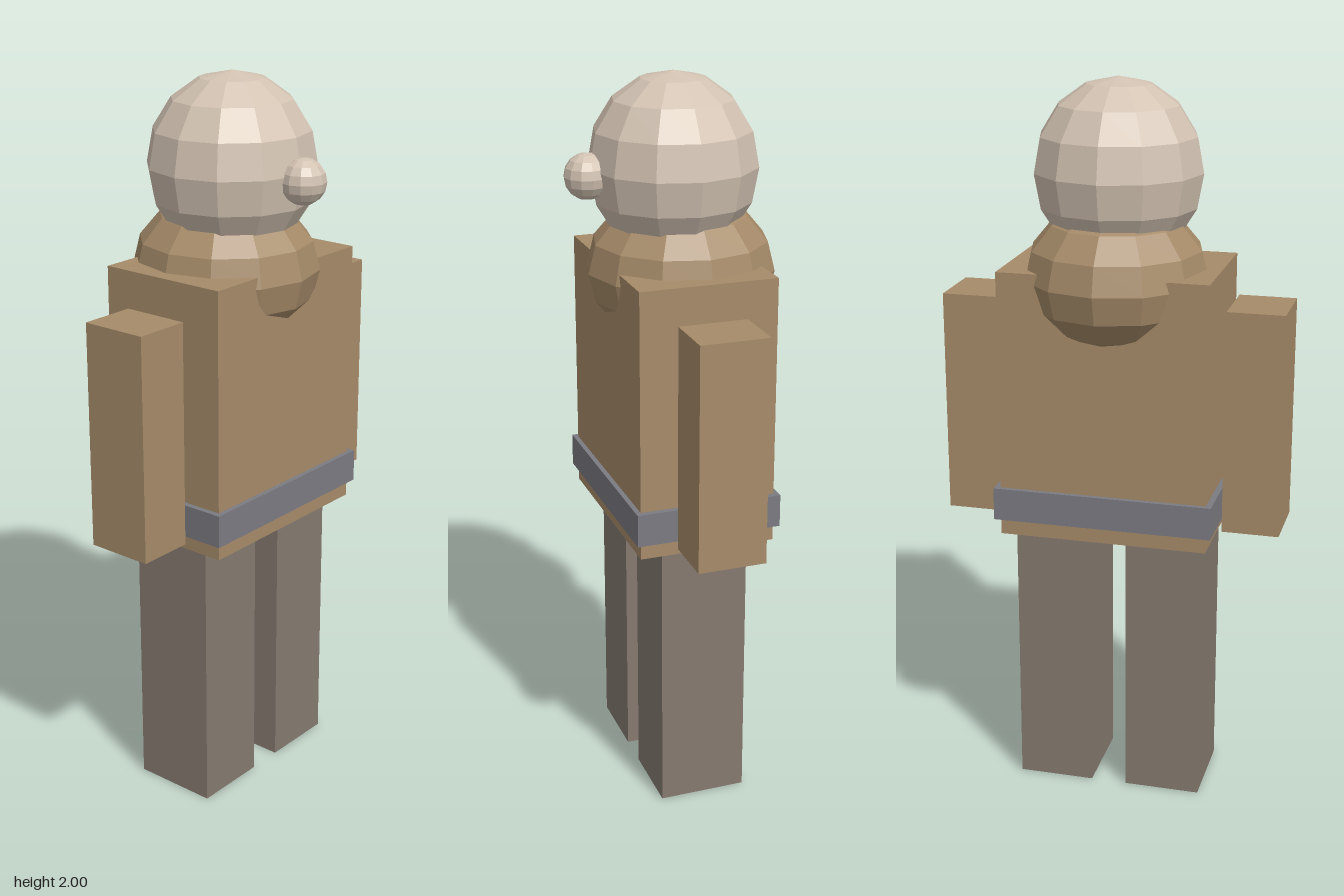
import * as THREE from 'three';

const Z = -0.008; // shared depth centre of the body

function material(name, color) {
  const m = new THREE.MeshStandardMaterial({ color });
  m.name = name;
  return m;
}

export function createModel() {
  const group = new THREE.Group();
  group.name = 'figure';

  const tan = material('tan cloth', 0xa68b69);
  const grey = material('grey belt', 0x7b7b82);
  const brown = material('brown grey trousers', 0x857a70);
  const skin = material('pale skin', 0xd2c2b2);

  function add(name, geometry, mat, x, y, z) {
    const mesh = new THREE.Mesh(geometry, mat);
    mesh.name = name;
    mesh.position.set(x, y, z);
    group.add(mesh);
  }

  // Box given by its size, centre x and bottom height
  function box(name, mat, w, h, d, x, bottom) {
    add(name, new THREE.BoxGeometry(w, h, d), mat, x, bottom + h / 2, Z);
  }

  // Faceted ellipsoid with flat normals
  function ball(name, mat, rx, ry, rz, x, y, z) {
    const g = new THREE.SphereGeometry(1, 12, 8).scale(rx, ry, rz).toNonIndexed();
    g.computeVertexNormals();
    add(name, g, mat, x, y, z);
  }

  // Torso and belt
  box('torso', tan, 0.57, 0.735, 0.375, 0, 0.775);
  box('belt', grey, 0.602, 0.09, 0.402, 0, 0.82);

  // Mirrored limbs
  for (const [side, s] of [['left', 1], ['right', -1]]) {
    box(side + 'Leg', brown, 0.212, 0.775, 0.242, s * 0.156, 0);
    box(side + 'Arm', tan, 0.156, 0.615, 0.187, s * 0.389, 0.803);
  }

  // Collar, head and nose
  ball('collar', tan, 0.25, 0.202, 0.255, 0, 1.48, -0.031);
  ball('head', skin, 0.228, 0.243, 0.227, 0, 1.757, -0.01);
  ball('nose', skin, 0.061, 0.061, 0.061, 0, 1.743, 0.224);

  return group;
}
